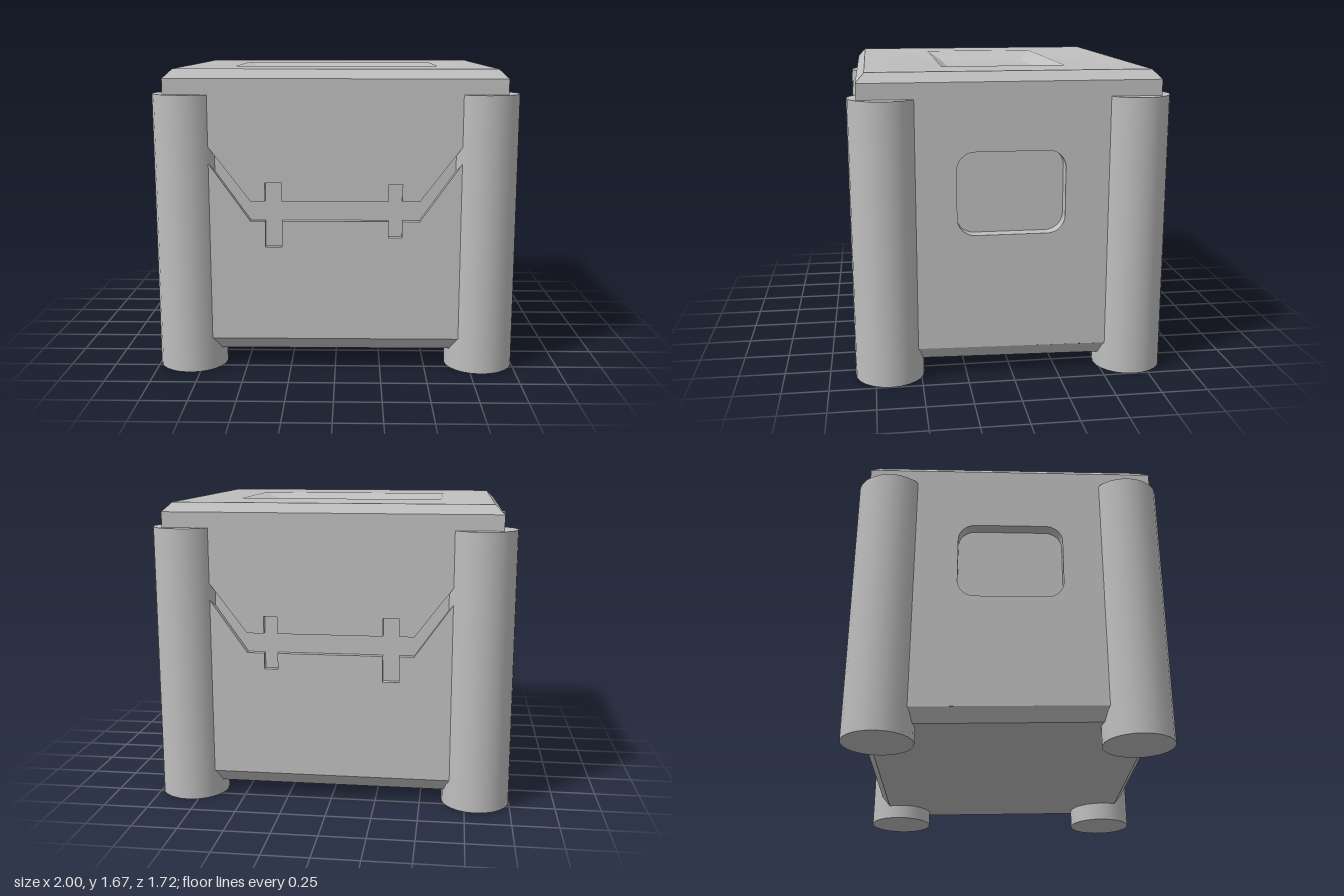
import * as THREE from 'three';
import { toCreasedNormals } from 'three/addons/utils/BufferGeometryUtils.js';

const W = 0.92, FRONT = 0.81, BACK = -0.79, MID = 0.01; // body half width and z limits
const TOP = 1.62;                                       // top of the upright walls
const GROOVE = 0.035, WINDOW = 0.07;                    // recess depths

// Rectangular cross-sections [halfX, zBack, zFront, yBack, yFront], lofted upward.
function loft(rects, capBottom, capTop) {
  const pos = [], index = [];
  for (const [x, zb, zf, yb, yf] of rects) {
    pos.push(-x, yf, zf, x, yf, zf, x, yb, zb, -x, yb, zb);
  }
  for (let r = 0; r < rects.length - 1; r++) {
    for (let i = 0; i < 4; i++) {
      const a = r * 4 + i, b = r * 4 + (i + 1) % 4;
      index.push(a, b, b + 4, a, b + 4, a + 4);
    }
  }
  const t = (rects.length - 1) * 4;
  if (capTop) index.push(t, t + 1, t + 2, t, t + 2, t + 3);
  if (capBottom) index.push(0, 2, 1, 0, 3, 2);
  const g = new THREE.BufferGeometry();
  g.setAttribute('position', new THREE.Float32BufferAttribute(pos, 3));
  g.setIndex(index);
  return toCreasedNormals(g, Math.PI / 6);
}

function polygon(points, Type = THREE.Shape) {
  return new Type(points.map(([x, y]) => new THREE.Vector2(x, y)));
}

function extrude(shape, depth) {
  const g = new THREE.ExtrudeGeometry(shape, { depth, bevelEnabled: false, curveSegments: 8 });
  return toCreasedNormals(g, Math.PI / 6);
}

// Handle-shaped groove with two clasps
function handleHole() {
  return polygon([
    [-0.75, 1.345], [-0.75, 1.26], [-0.46, 0.85], [-0.38, 0.85], [-0.38, 0.705],
    [-0.29, 0.705], [-0.29, 0.85], [0.29, 0.85], [0.29, 0.76], [0.365, 0.76],
    [0.365, 0.85], [0.46, 0.85], [0.75, 1.26], [0.75, 1.345], [0.46, 0.96],
    [0.365, 0.96], [0.365, 1.055], [0.29, 1.055], [0.29, 0.96], [-0.29, 0.96],
    [-0.29, 1.06], [-0.38, 1.06], [-0.38, 0.96], [-0.46, 0.96],
  ], THREE.Path);
}

// Rounded square recess on the sides
function windowHole() {
  const x0 = -0.28, x1 = 0.3, y0 = 0.805, y1 = 1.255, r = 0.095;
  const p = new THREE.Path();
  p.absarc(x1 - r, y0 + r, r, -Math.PI / 2, 0);
  p.absarc(x1 - r, y1 - r, r, 0, Math.PI / 2);
  p.absarc(x0 + r, y1 - r, r, Math.PI / 2, Math.PI);
  p.absarc(x0 + r, y0 + r, r, Math.PI, Math.PI * 1.5);
  p.closePath();
  return p;
}

export function createModel() {
  const model = new THREE.Group();
  model.name = 'crate';
  const grey = new THREE.MeshStandardMaterial({ color: 0xbfbfbf });
  grey.name = 'grey';

  function add(name, geometry, x = 0, y = 0, z = 0) {
    const mesh = new THREE.Mesh(geometry, grey);
    mesh.name = name;
    mesh.position.set(x, y, z);
    model.add(mesh);
  }

  // Core that forms the floors of the wall recesses
  add('core', new THREE.BoxGeometry(2 * (W - WINDOW), 1.38, FRONT - BACK - 2 * GROOVE), 0, 0.89, MID);

  // Front and back walls with the handle groove
  for (const [name, z, low] of [['frontWall', FRONT - GROOVE, 0.183], ['backWall', BACK, 0.153]]) {
    const s = polygon([[-W, low], [W, low], [W, TOP], [-W, TOP]]);
    s.holes.push(handleHole());
    add(name, extrude(s, GROOVE), 0, 0, z);
  }

  // Side walls with the rounded recess; the lower edge slopes to the back
  for (const [name, x] of [['leftWall', W], ['rightWall', -W + WINDOW]]) {
    const zb = BACK + GROOVE, zf = FRONT - GROOVE;
    const s = polygon([[zb, 0.154], [zf, 0.182], [zf, TOP], [zb, TOP]]);
    s.holes.push(windowHole());
    add(name, extrude(s, WINDOW).rotateY(-Math.PI / 2), x);
  }

  // Chamfered, slightly tilted underside
  add('base', loft([
    [W - 0.05, BACK + 0.055, FRONT - 0.055, 0.08, 0.11],
    [W, BACK, FRONT, 0.153, 0.183],
  ], true, false));

  // Chamfered top with a shallow sloped dish
  add('lid', loft([
    [W, BACK, FRONT, TOP, TOP],
    [W - 0.05, BACK + 0.045, FRONT - 0.045, 1.67, 1.67],
    [0.58, -0.335, 0.348, 1.67, 1.67],
    [0.45, -0.257, 0.27, 1.62, 1.62],
  ], false, true));

  // Round corner posts
  const post = new THREE.CylinderGeometry(0.19, 0.19, 1.535, 24);
  for (const x of [-0.81, 0.81]) {
    for (const z of [-0.67, 0.67]) {
      add((z > 0 ? 'front' : 'back') + (x > 0 ? 'Left' : 'Right') + 'Post', post, x, 1.535 / 2, z);
    }
  }
  return model;
}
